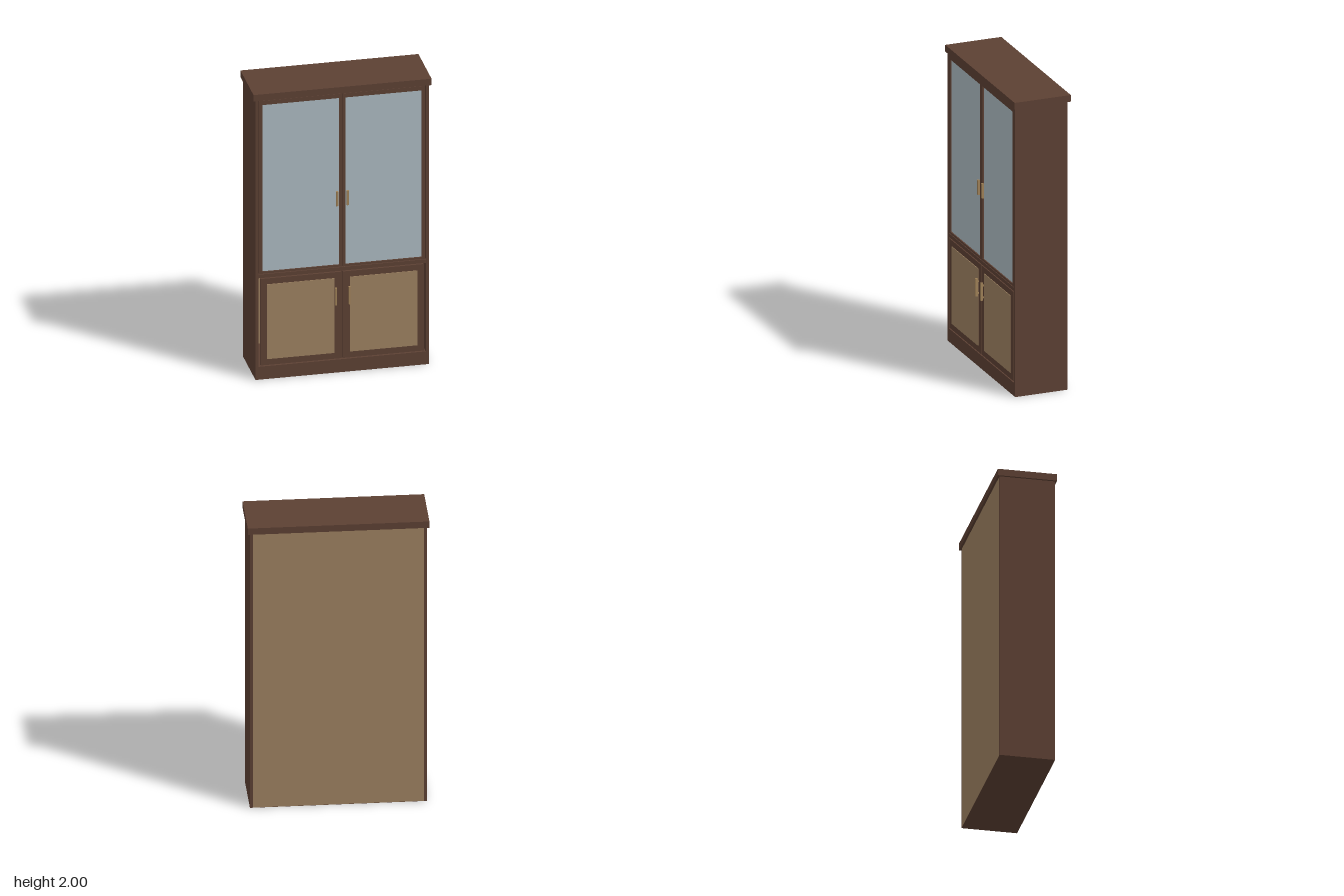
import * as THREE from 'three';

export function createModel() {
  const model = new THREE.Group();
  model.name = 'displayCabinet';

  const mat = (name, color) => {
    const m = new THREE.MeshStandardMaterial({ color });
    m.name = name;
    return m;
  };
  const wood = mat('dark wood', 0x5c4033);
  const tan = mat('tan panel', 0x9c8060);
  const glass = mat('pale glass', 0xabb9c0);
  const brass = mat('brass', 0xa08258);

  // Box given by its limits on each axis
  const box = (parent, name, material, [x0, x1], [y0, y1], [z0, z1]) => {
    const mesh = new THREE.Mesh(new THREE.BoxGeometry(Math.abs(x1 - x0), y1 - y0, z1 - z0), material);
    mesh.position.set((x0 + x1) / 2, (y0 + y1) / 2, (z0 + z1) / 2);
    mesh.name = name;
    parent.add(mesh);
  };

  // Rectangular door frame with a rectangular opening
  const frame = (parent, name, [x0, x1, y0, y1], [a0, a1, b0, b1], z0, z1) => {
    const shape = new THREE.Shape([
      new THREE.Vector2(x0, y0), new THREE.Vector2(x1, y0),
      new THREE.Vector2(x1, y1), new THREE.Vector2(x0, y1)]);
    shape.holes.push(new THREE.Path([
      new THREE.Vector2(a0, b0), new THREE.Vector2(a0, b1),
      new THREE.Vector2(a1, b1), new THREE.Vector2(a1, b0)]));
    const geometry = new THREE.ExtrudeGeometry(shape, { depth: z1 - z0, bevelEnabled: false });
    const mesh = new THREE.Mesh(geometry, wood);
    mesh.position.z = z0;
    mesh.name = name;
    parent.add(mesh);
  };

  const back = -0.185, front = 0.176;

  // Carcass
  box(model, 'cornice', wood, [-0.58, 0.58], [1.955, 2], [-0.2, 0.186]);
  box(model, 'plinth', wood, [-0.545, 0.545], [0, 0.09], [back, front]);
  box(model, 'middleRail', wood, [-0.545, 0.545], [0.71, 0.735], [-0.17, front]);
  box(model, 'lowerDivider', wood, [-0.01, 0.01], [0.09, 0.71], [-0.17, 0.15]);
  box(model, 'backPanel', tan, [-0.545, 0.545], [0.002, 1.955], [back - 0.001, -0.17]);

  // Mirrored sides and doors
  for (const s of [-1, 1]) {
    const side = s > 0 ? 'left' : 'right';
    const span = (a, b) => (s > 0 ? [a, b] : [-b, -a]);

    box(model, side + 'Side', wood, span(0.545, 0.565), [0, 1.955], [back, front]);

    // Glazed upper door
    const upper = new THREE.Group();
    upper.name = side + 'UpperDoor';
    frame(upper, 'upperDoorFrame', [...span(0.002, 0.541), 0.739, 1.949],
      [...span(0.02, 0.52), 0.753, 1.92], 0.155, front);
    box(upper, 'glassPane', glass, span(0.018, 0.522), [0.751, 1.922], [0.16, 0.168]);
    box(upper, 'upperHandle', brass, span(0.027, 0.042), [1.17, 1.27], [front, 0.19]);
    model.add(upper);

    // Panelled lower door with a narrow gap at the outer edge
    const lower = new THREE.Group();
    lower.name = side + 'LowerDoor';
    box(lower, 'lowerDoorBoard', wood, span(0.005, 0.532), [0.098, 0.703], [0.155, front]);
    box(lower, 'lowerDoorPanel', tan, span(0.05, 0.49), [0.14, 0.663], [front, 0.18]);
    box(lower, 'lowerHandle', brass, span(0.038, 0.05), [0.48, 0.6], [0.184, 0.2]);
    for (const y of [0.495, 0.575])
      box(lower, 'handlePost', brass, span(0.04, 0.048), [y, y + 0.01], [front, 0.185]);
    model.add(lower);
  }
  return model;
}
